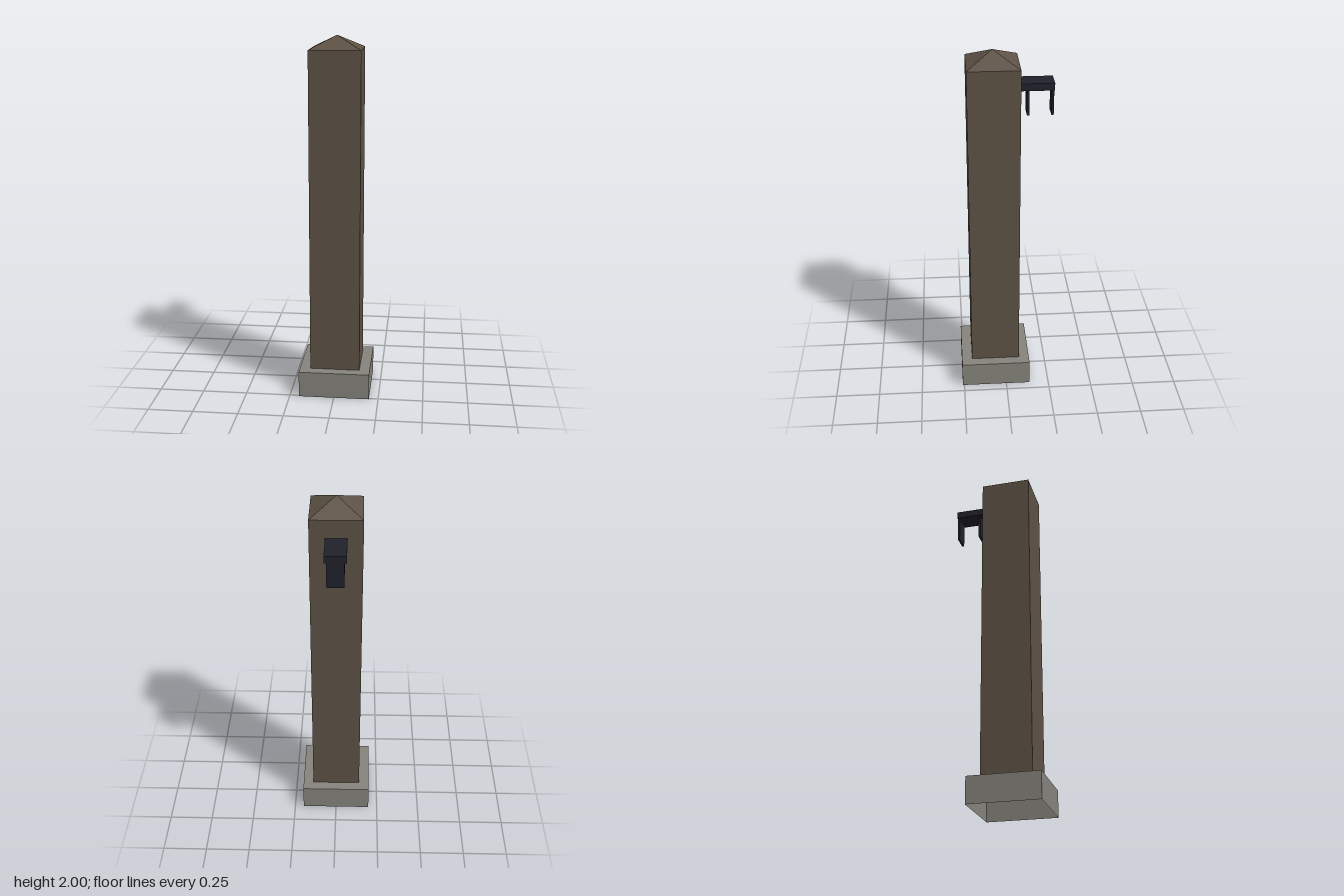
import * as THREE from 'three';

const POST_Z = 0.061; // the post stands forward of centre, the bracket reaches back

function mat(name, color, side = THREE.FrontSide) {
  const m = new THREE.MeshStandardMaterial({ color, side });
  m.name = name;
  return m;
}

// box given by its extents along each axis
function box(name, material, [x0, x1], [y0, y1], [z0, z1]) {
  const mesh = new THREE.Mesh(new THREE.BoxGeometry(x1 - x0, y1 - y0, z1 - z0), material);
  mesh.position.set((x0 + x1) / 2, (y0 + y1) / 2, (z0 + z1) / 2);
  mesh.name = name;
  return mesh;
}

export function createModel() {
  const wood = mat('dark wood', 0x5e5246);
  const stone = mat('grey stone', 0x86847c, THREE.DoubleSide);
  const iron = mat('black iron', 0x21212c);
  const model = new THREE.Group();
  model.name = 'post';

  // hollow footing: a box without its underside
  const footing = box('footing', stone, [-0.198, 0.198], [0, 0.147], [POST_Z - 0.198, POST_Z + 0.198]);
  const index = Array.from(footing.geometry.index.array);
  index.splice(18, 6);
  footing.geometry.setIndex(index);
  footing.geometry.clearGroups();
  model.add(footing);

  // square shaft
  const h = 0.139;
  model.add(box('shaft', wood, [-h, h], [0.147, 1.93], [POST_Z - h, POST_Z + h]));

  // pyramid cap with flat facets
  const capGeometry = new THREE.ConeGeometry(h * Math.SQRT2, 0.07, 4, 1, true)
    .rotateY(Math.PI / 4).toNonIndexed();
  capGeometry.computeVertexNormals();
  const cap = new THREE.Mesh(capGeometry, wood);
  cap.position.set(0, 1.965, POST_Z);
  cap.name = 'cap';
  model.add(cap);

  // bracket on the back: an arm with two hanging plates
  const bracket = new THREE.Group();
  bracket.name = 'bracket';
  bracket.add(box('arm', iron, [-0.057, 0.057], [1.79, 1.83], [-0.26, POST_Z - h]));
  for (const z of [-0.123, -0.252]) {
    bracket.add(box('hangingPlate', iron, [-0.045, 0.045], [1.65, 1.79], [z - 0.006, z + 0.006]));
  }
  model.add(bracket);

  return model;
}
